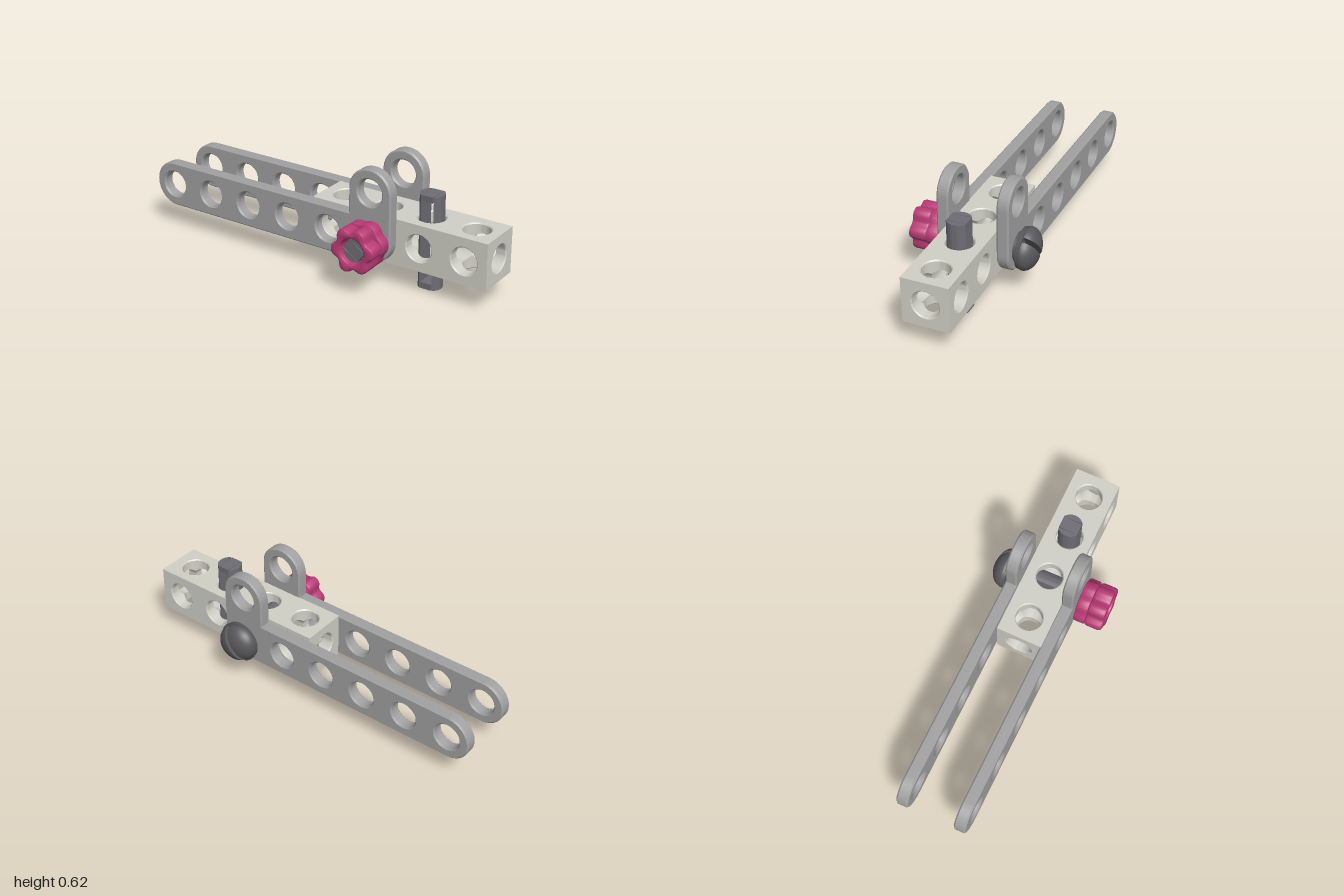
import * as THREE from 'three';
import { mergeGeometries, toCreasedNormals } from 'three/addons/utils/BufferGeometryUtils.js';

const PI = Math.PI, SEG = 48;
const Y = 0.2525;                       // height of the main hole row
const BOLT_X = 0.375;
const mat = (color) => new THREE.MeshStandardMaterial({ color, side: THREE.DoubleSide });
const plateMat = mat(0xa0a0a0), blockMat = mat(0xcfcfc6), steelMat = mat(0x6c6c73);
const headMat = mat(0x58585c), knobMat = mat(0xb83a74);

function mesh(name, geo, material, parent) {
  const m = new THREE.Mesh(geo, material);
  m.name = name;
  parent.add(m);
  return m;
}

const circle = (x, y, r) => new THREE.Path().absarc(x, y, r, 0, 2 * PI, true);

// Extrusion with chamfered rims that keeps its full outline at mid thickness
function slab(shape, depth, bevel, segs = 1) {
  const g = new THREE.ExtrudeGeometry(shape, {
    depth: depth - 2 * bevel, bevelEnabled: bevel > 0, bevelSize: bevel, bevelThickness: bevel,
    bevelOffset: -bevel, bevelSegments: segs, curveSegments: 24,
  });
  g.translate(0, 0, bevel);
  return toCreasedNormals(g, 0.5);
}

// Flat L-shaped arm with a row of holes and one raised lug
function armGeometry() {
  const r = 0.122, s = new THREE.Shape();
  s.absarc(-0.875, Y, r, PI / 2, 1.5 * PI);
  s.absarc(BOLT_X, Y, r, 1.5 * PI, 2 * PI);
  s.absarc(BOLT_X, Y + 0.25, r, 0, PI);
  s.lineTo(BOLT_X - r, Y + r);
  for (let i = 0; i < 6; i++) s.holes.push(circle(-0.875 + 0.25 * i, Y, 0.069));
  s.holes.push(circle(BOLT_X, Y + 0.25, 0.069));
  return slab(s, 0.063, 0.008).translate(0, 0, -0.0315);
}

// Bore wall along +z, trimmed where the two crossing bores meet it
function bore(r, end, chamfer) {
  const pos = [], idx = [];
  for (let j = 0; j <= SEG; j++) {
    const a = (j / SEG) * 2 * PI, c = Math.cos(a), s = Math.sin(a);
    const start = r * Math.max(Math.abs(c), Math.abs(s));
    for (const [rad, z] of [[r, start], [r, end - chamfer], [r + chamfer, end]]) pos.push(rad * c, rad * s, z);
    if (j === SEG) break;
    for (let k = 0; k < 2; k++) {
      const p = j * 3 + k, q = p + 3;
      idx.push(p, q + 1, q, p, p + 1, q + 1);
    }
  }
  const g = new THREE.BufferGeometry();
  g.setAttribute('position', new THREE.Float32BufferAttribute(pos, 3));
  g.setIndex(idx);
  return toCreasedNormals(g, 0.5);
}

// Rectangular face with holes, looking along +z
function face(w, h, z, xs, r) {
  const s = new THREE.Shape();
  s.moveTo(-w / 2, -h / 2).lineTo(w / 2, -h / 2).lineTo(w / 2, h / 2).lineTo(-w / 2, h / 2);
  xs.forEach((x) => s.holes.push(circle(x, 0, r)));
  const g = new THREE.ShapeGeometry(s, SEG).toNonIndexed().translate(0, 0, z);
  g.deleteAttribute('uv');
  return g;
}

// Square beam drilled along all three axes
function blockGeometry() {
  const L = 0.995, W = 0.245, R = 0.07, C = 0.006, pitch = L / 4, parts = [];
  const xs = [0, 1, 2, 3].map((i) => (i - 1.5) * pitch);
  for (let k = 0; k < 4; k++) {
    parts.push(face(L, W, W / 2, xs, R + C).rotateX(k * PI / 2));
    xs.forEach((x) => parts.push(bore(R, W / 2, C).rotateX(k * PI / 2).translate(x, 0, 0)));
  }
  for (const side of [-1, 1]) {
    parts.push(face(W, W, L / 2, [0], R + C).rotateY(side * PI / 2));
    xs.forEach((x) => {
      const outer = Math.abs(x + side * pitch / 2) > L / 2 - 0.01;
      parts.push(bore(R, pitch / 2, outer ? C : 0).rotateY(side * PI / 2).translate(x, 0, 0));
    });
  }
  return mergeGeometries(parts);
}

// Slotted pin along z: two rounded rails joined by a bridge at each end
function pinGeometry(length) {
  const R = 0.0625, flat = 0.051, slot = 0.03, a = Math.asin(flat / R), parts = [];
  for (const turn of [0, PI]) {
    const s = new THREE.Shape();
    s.moveTo(slot, -flat);
    s.absarc(0, 0, R, -a, a);
    s.lineTo(slot, flat);
    parts.push(slab(s, length, 0).translate(0, 0, -length / 2).rotateZ(turn));
    const bridge = new THREE.BoxGeometry(2 * slot, 2 * flat, 0.032).toNonIndexed();
    parts.push(bridge.translate(0, 0, (turn ? -1 : 1) * (length / 2 - 0.016)));
  }
  return mergeGeometries(parts);
}

// Six-lobed grip ring
function knobRing(r, dip, depth, bevel) {
  const pts = [];
  for (let i = 0; i < 96; i++) {
    const t = (i / 96) * 2 * PI;
    const rad = r - dip * Math.pow(0.5 - 0.5 * Math.cos(6 * (t - 0.1)), 1.5);
    pts.push(new THREE.Vector2(rad * Math.cos(t), rad * Math.sin(t)));
  }
  const s = new THREE.Shape(pts);
  s.holes.push(circle(0, 0, 0.066));
  return slab(s, depth, bevel, 2);
}

// Domed bolt head facing -z with a straight driver slot
function addBoltHead(parent) {
  const head = new THREE.Group();
  head.name = 'boltHead';
  const R = 0.1, H = 0.07, profile = [];
  for (let i = 0; i <= 14; i++) {
    const t = (i / 14) * PI / 2;
    profile.push(new THREE.Vector2(i === 14 ? 0 : R * Math.cos(t), H * Math.sin(t)));
  }
  const wall = new THREE.Shape([...profile, ...profile.slice(0, -1).reverse().map((p) => new THREE.Vector2(-p.x, p.y))]);
  for (const turn of [0, PI]) {
    const half = new THREE.Group();
    half.name = 'domeHalf';
    mesh('dome', new THREE.LatheGeometry(profile, 24, 0, PI).translate(0.012, 0, 0), headMat, half);
    mesh('slotWall', new THREE.ShapeGeometry(wall).rotateY(-PI / 2).translate(0.012, 0, 0), headMat, half);
    half.rotation.y = turn;
    head.add(half);
  }
  mesh('headBase', new THREE.CylinderGeometry(0.11, 0.106, 0.024, SEG).translate(0, -0.01, 0), headMat, head);
  mesh('headCollar', new THREE.CylinderGeometry(0.075, 0.075, 0.03, SEG).translate(0, -0.03, 0), headMat, head);
  head.rotation.set(-PI / 2, 0, 0);
  head.position.z = -0.255;
  const turned = new THREE.Group();
  turned.name = 'boltHeadTurn';
  turned.rotation.z = -35 * PI / 180;
  turned.add(head);
  parent.add(turned);
}

export function createModel() {
  const model = new THREE.Group();
  model.name = 'hingedBeamAssembly';

  // Twin arms
  for (const [name, z] of [['frontArm', 0.126], ['backArm', -0.187]]) {
    const arm = mesh(name, armGeometry(), plateMat, model);
    arm.position.z = z;
    arm.rotation.y = -0.018;
  }

  // Drilled beam with its upright pin
  const beam = new THREE.Group();
  beam.name = 'beam';
  beam.position.set(0.4975, Y, -0.019);
  beam.rotation.set(0.012, -0.01, 0);
  mesh('drilledBlock', blockGeometry(), blockMat, beam);
  mesh('uprightPin', pinGeometry(0.498).rotateX(-PI / 2), steelMat, beam).position.x = 0.125;
  model.add(beam);

  // Cross bolt and grip knob
  const bolt = new THREE.Group();
  bolt.name = 'crossBolt';
  bolt.position.set(BOLT_X, Y - 0.002, 0);
  mesh('boltShaft', pinGeometry(0.535).rotateZ(55 * PI / 180), steelMat, bolt).position.z = 0.03;
  addBoltHead(bolt);
  mesh('knobFlange', knobRing(0.12, 0.012, 0.064, 0.008), knobMat, bolt).position.z = 0.167;
  mesh('knobGrip', knobRing(0.122, 0.026, 0.097, 0.016), knobMat, bolt).position.z = 0.229;
  model.add(bolt);

  return model;
}
